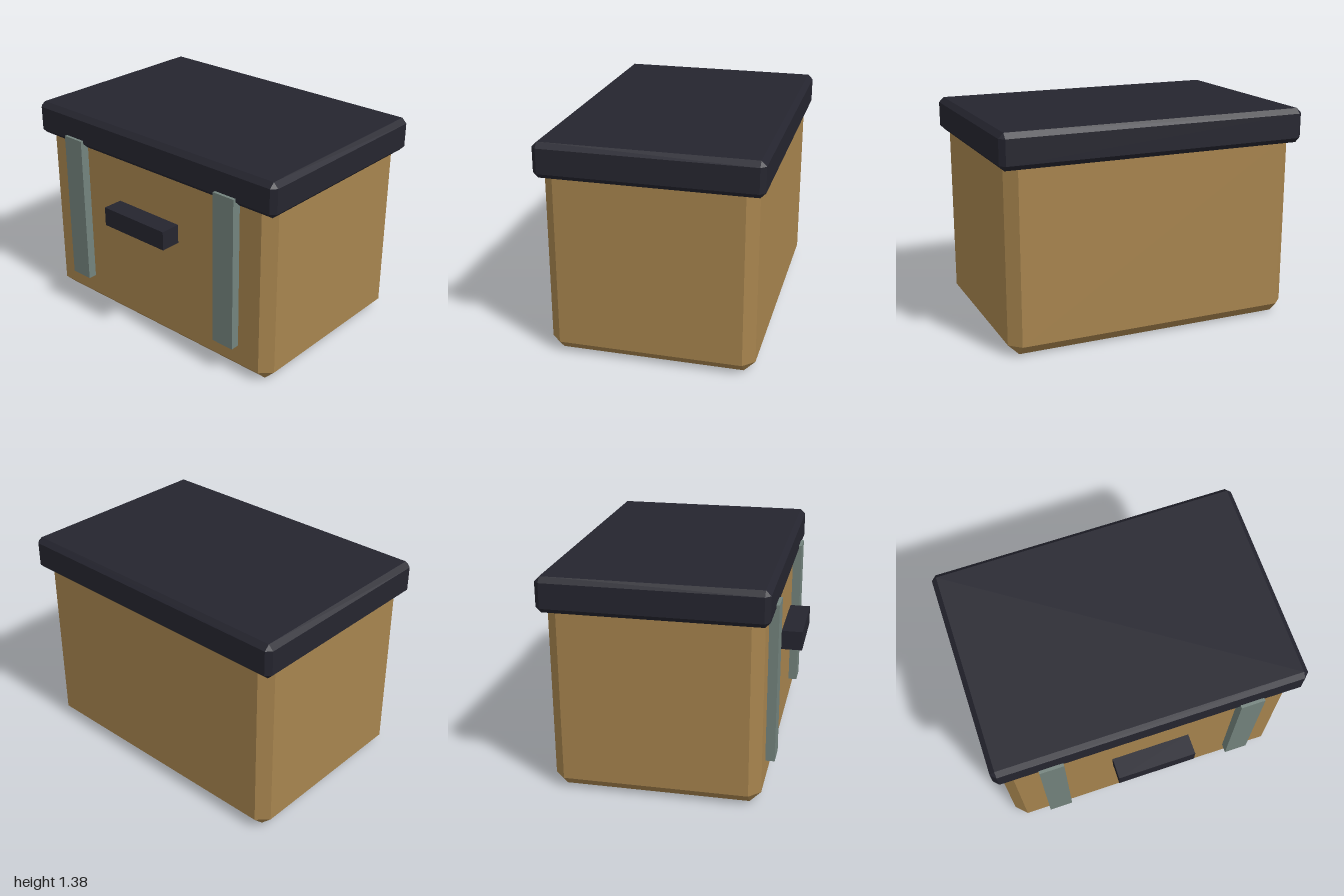
import * as THREE from 'three';
import { ConvexGeometry } from 'three/addons/geometries/ConvexGeometry.js';

const tan = new THREE.MeshStandardMaterial({ name: 'tan', color: 0xa7844e });
const charcoal = new THREE.MeshStandardMaterial({ name: 'charcoal', color: 0x25252f });
const greyGreen = new THREE.MeshStandardMaterial({ name: 'grey green', color: 0x73837d });

// Box with every edge cut by a bevel c: each corner becomes three points
function beveledBox(w, h, d, c) {
  const points = [];
  for (const sx of [-1, 1]) for (const sy of [-1, 1]) for (const sz of [-1, 1]) {
    for (let flush = 0; flush < 3; flush++) {
      const p = [w, h, d].map((s, i) => s / 2 - (i === flush ? 0 : c));
      points.push(new THREE.Vector3(sx * p[0], sy * p[1], sz * p[2]));
    }
  }
  return new ConvexGeometry(points);
}

export function createModel() {
  const model = new THREE.Group();
  model.name = 'storageBox';

  // Place a part by its extents along each axis, optionally beveled
  function add(name, material, [x0, x1], [y0, y1], [z0, z1], bevel = 0) {
    const size = [x1 - x0, y1 - y0, z1 - z0];
    const geometry = bevel ? beveledBox(...size, bevel) : new THREE.BoxGeometry(...size);
    const mesh = new THREE.Mesh(geometry, material);
    mesh.name = name;
    mesh.position.set((x0 + x1) / 2, (y0 + y1) / 2, (z0 + z1) / 2);
    model.add(mesh);
  }

  // Body tucks up inside the overhanging lid
  add('body', tan, [-0.955, 0.955], [0, 1.26], [-0.705, 0.59], 0.07);
  add('lid', charcoal, [-1, 1], [1.16, 1.38], [-0.747, 0.628], 0.032);

  // Front straps and handle
  add('leftStrap', greyGreen, [0.568, 0.724], [0.2, 1.213], [0.585, 0.648]);
  add('rightStrap', greyGreen, [-0.724, -0.568], [0.2, 1.213], [0.585, 0.648]);
  add('handle', charcoal, [-0.255, 0.255], [0.758, 0.882], [0.615, 0.748]);

  return model;
}
